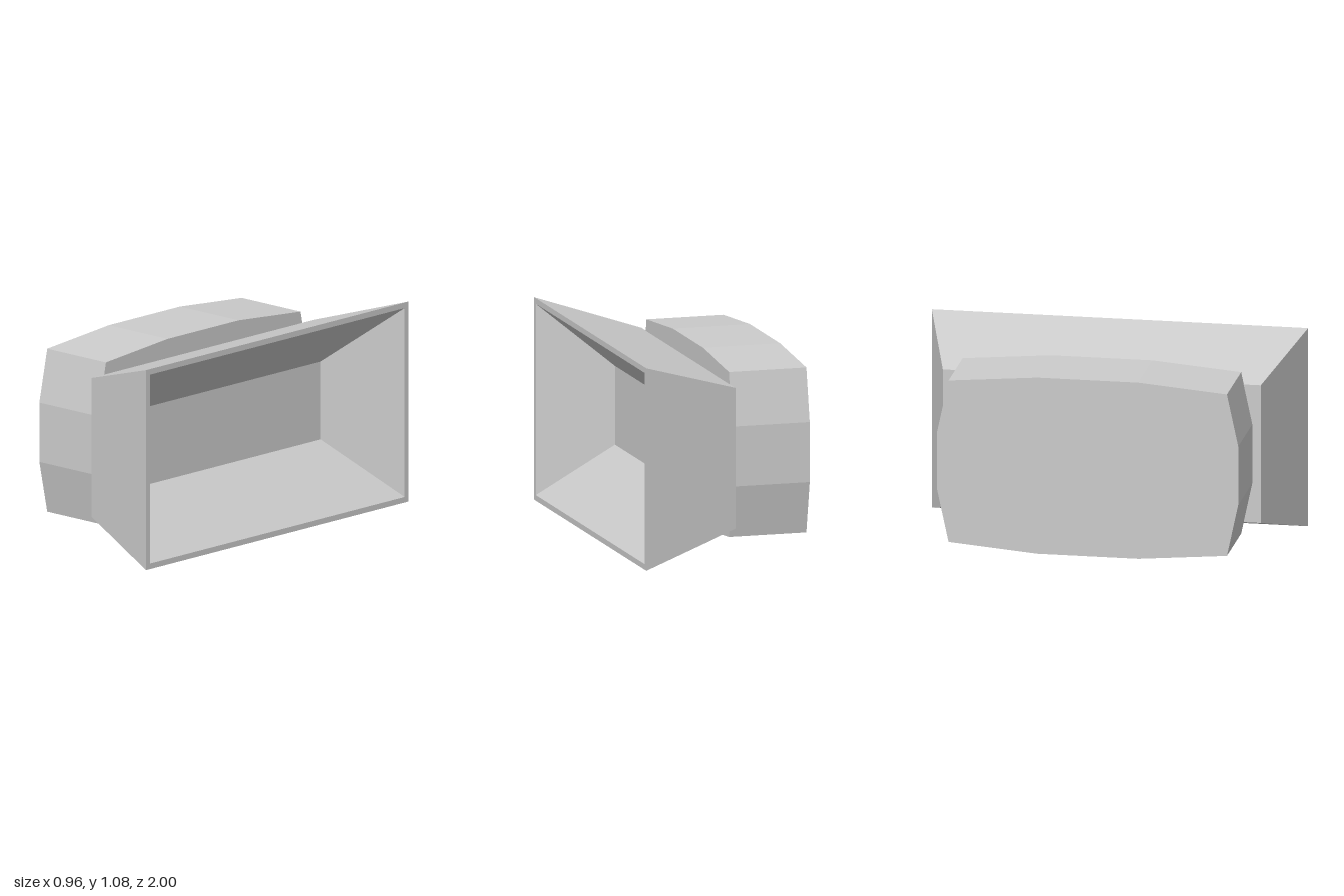
import * as THREE from 'three';

const material = new THREE.MeshStandardMaterial({ color: 0xcccccc, flatShading: true });

// Rectangular cross-section in the plane x, ordered anticlockwise seen from +x
function ring([x, y0, y1, halfZ]) {
  return [[x, y0, halfZ], [x, y0, -halfZ], [x, y1, -halfZ], [x, y1, halfZ]];
}

// Skin successive rings with flat quads and close both ends
function loft(sections) {
  const rings = sections.map(ring);
  const positions = [];
  const quad = (a, b, c, d) => positions.push(...a, ...b, ...c, ...a, ...c, ...d);
  for (let i = 0; i < rings.length - 1; i++) {
    const p = rings[i], q = rings[i + 1];
    for (let k = 0; k < 4; k++) {
      const n = (k + 1) % 4;
      quad(p[k], p[n], q[n], q[k]);
    }
  }
  const first = rings[0], last = rings[rings.length - 1];
  quad(first[3], first[2], first[1], first[0]);
  quad(...last);
  const geometry = new THREE.BufferGeometry();
  geometry.setAttribute('position', new THREE.Float32BufferAttribute(positions, 3));
  geometry.computeVertexNormals();
  return geometry;
}

export function createModel() {
  const model = new THREE.Group();

  // Housing: bulged rectangle mirrored about its centre, extruded along x
  const quarter = [[0.80, 0.16], [0.74, 0.44], [0.27, 0.48]];
  const mirrored = quarter.map(([u, v]) => [-u, v]).reverse();
  const top = [...quarter, ...mirrored];
  const outline = [...top, ...top.map(([u, v]) => [-u, -v])];
  const shape = new THREE.Shape(outline.map(([u, v]) => new THREE.Vector2(u, v)));
  const housingGeometry = new THREE.ExtrudeGeometry(shape, { depth: 0.423, bevelEnabled: false });
  housingGeometry.rotateY(Math.PI / 2);
  const housing = new THREE.Mesh(housingGeometry, material);
  housing.name = 'housing';
  housing.position.set(-0.48, 0.54, 0);
  model.add(housing);

  // Flared hood: closed back, outer flare, thin rim, then tapering recess to its floor
  const hood = new THREE.Mesh(loft([
    [-0.062, 0.165, 0.915, 0.845],
    [0.477, 0, 1.08, 1],
    [0.477, 0.03, 1.05, 0.97],
    [0.127, 0.33, 0.75, 0.70],
  ]), material);
  hood.name = 'flaredHood';
  model.add(hood);

  return model;
}
